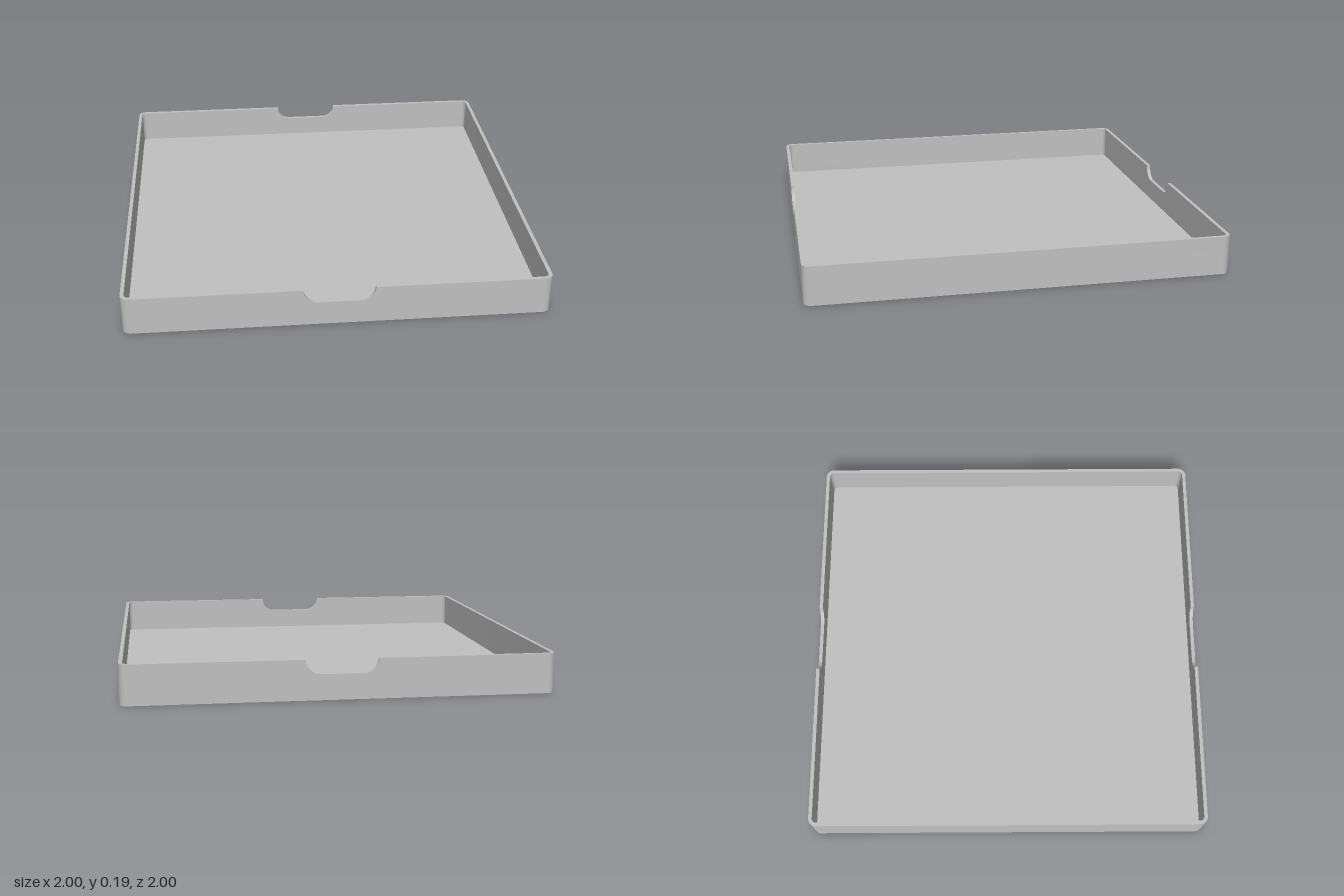
import * as THREE from 'three';
import { toCreasedNormals } from 'three/addons/utils/BufferGeometryUtils.js';

const HEIGHT = 0.188;
const WALL = 0.018;      // wall and floor thickness
const RADIUS = 0.04;     // outer corner radius
const EDGE = 1 - RADIUS; // centre of the corner arcs
const HALF_PI = Math.PI / 2;

function extrude(shape, depth) {
  const geometry = new THREE.ExtrudeGeometry(shape, { depth, bevelEnabled: false, curveSegments: 10 });
  return toCreasedNormals(geometry, 0.6);
}

// Full rounded-square footprint
function floorShape() {
  const s = new THREE.Shape();
  s.absarc(EDGE, -EDGE, RADIUS, -HALF_PI, 0);
  s.absarc(EDGE, EDGE, RADIUS, 0, HALF_PI);
  s.absarc(-EDGE, EDGE, RADIUS, HALF_PI, Math.PI);
  s.absarc(-EDGE, -EDGE, RADIUS, Math.PI, 3 * HALF_PI);
  s.closePath();
  return s;
}

// Plan of one side wall together with its two rounded corners
function sideShape() {
  const s = new THREE.Shape();
  s.absarc(EDGE, -EDGE, RADIUS, -HALF_PI, 0);
  s.absarc(EDGE, EDGE, RADIUS, 0, HALF_PI);
  s.absarc(EDGE, EDGE, RADIUS - WALL, HALF_PI, 0, true);
  s.absarc(EDGE, -EDGE, RADIUS - WALL, 0, -HALF_PI, true);
  s.closePath();
  return s;
}

// Elevation of a front or back wall with the finger notch in its top edge
function notchedShape() {
  const half = 0.168, bottom = 0.12, r = HEIGHT - bottom;
  const s = new THREE.Shape();
  s.moveTo(-EDGE, WALL);
  s.lineTo(EDGE, WALL);
  s.lineTo(EDGE, HEIGHT);
  s.lineTo(half, HEIGHT);
  s.absarc(half - r, HEIGHT, r, 0, -HALF_PI, true);
  s.absarc(-half + r, HEIGHT, r, -HALF_PI, -Math.PI, true);
  s.lineTo(-EDGE, HEIGHT);
  s.closePath();
  return s;
}

export function createModel() {
  const grey = new THREE.MeshStandardMaterial({ color: 0xc0c0c0 });
  grey.name = 'grey';
  const tray = new THREE.Group();
  tray.name = 'tray';

  function add(name, geometry, turn = 0) {
    const mesh = new THREE.Mesh(geometry, grey);
    mesh.name = name;
    mesh.rotation.y = turn;
    tray.add(mesh);
  }

  add('floor', extrude(floorShape(), WALL).rotateX(-HALF_PI));

  const side = extrude(sideShape(), HEIGHT - WALL).rotateX(-HALF_PI).translate(0, WALL, 0);
  add('leftWall', side);
  add('rightWall', side, Math.PI);

  const notched = extrude(notchedShape(), WALL).translate(0, 0, 1 - WALL);
  add('frontWall', notched);
  add('backWall', notched, Math.PI);

  return tray;
}
